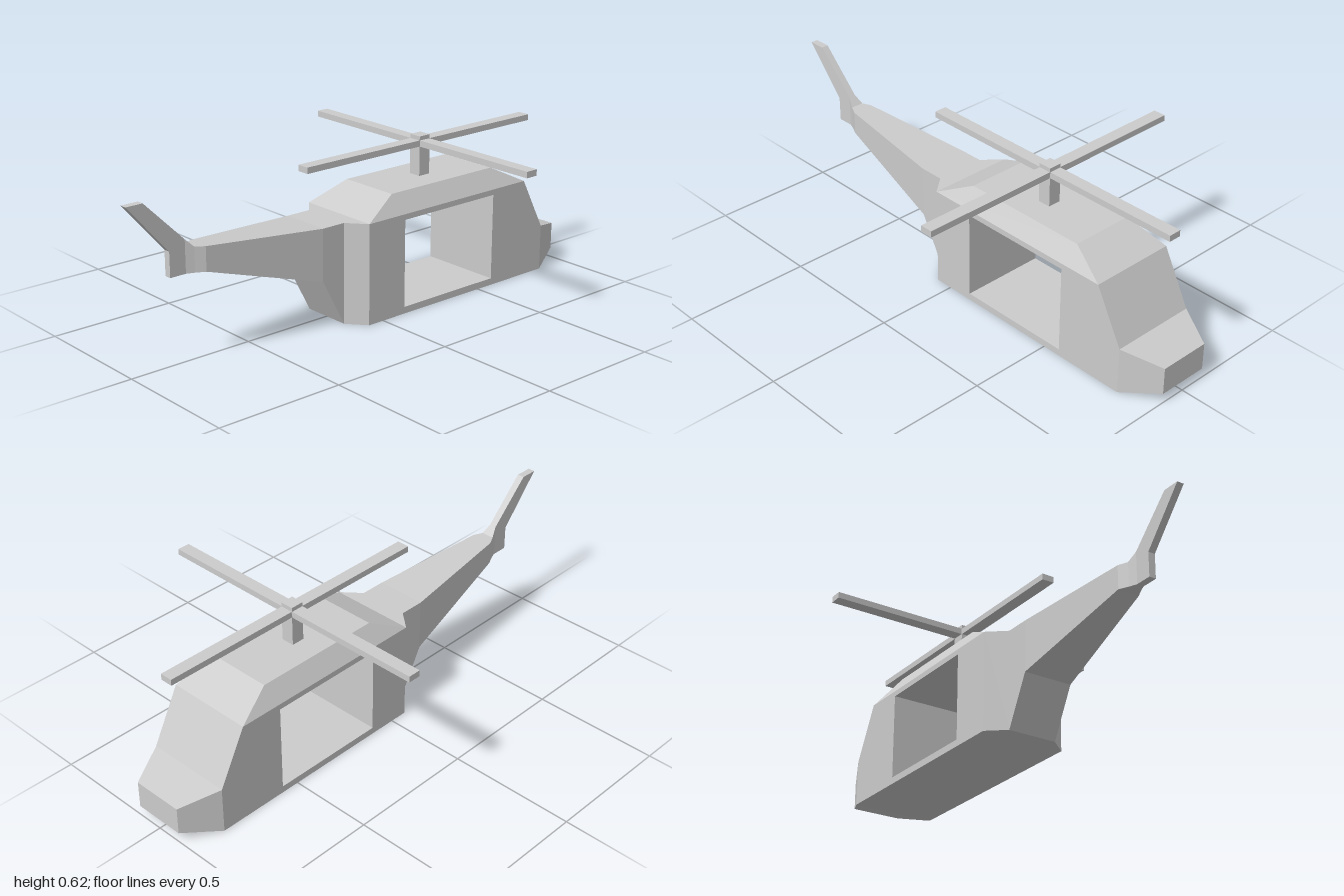
import * as THREE from 'three';

const W = 0.172; // half width of the cabin

export function createModel() {
  const model = new THREE.Group();
  const grey = new THREE.MeshStandardMaterial({ color: 0xcccccc, flatShading: true });
  const thin = new THREE.MeshStandardMaterial({ color: 0xcccccc, flatShading: true, side: THREE.DoubleSide });

  const add = (name, geometry, material = grey) => {
    const mesh = new THREE.Mesh(geometry, material);
    mesh.name = name;
    model.add(mesh);
    return mesh;
  };

  // Skin between rings of points; optionally closes the last ring
  const loft = (rings, { cap = false, open = false } = {}) => {
    const pos = [];
    const tri = (...pts) => pts.forEach((p) => pos.push(...p));
    const n = rings[0].length;
    for (let i = 0; i < rings.length - 1; i++) {
      for (let j = 0; j < (open ? n - 1 : n); j++) {
        const k = (j + 1) % n;
        const a = rings[i][j], b = rings[i][k], c = rings[i + 1][k], d = rings[i + 1][j];
        tri(a, b, c);
        tri(a, c, d);
      }
    }
    const end = rings[rings.length - 1];
    if (cap) for (let j = 1; j < n - 1; j++) tri(end[0], end[j], end[j + 1]);
    const g = new THREE.BufferGeometry();
    g.setAttribute('position', new THREE.Float32BufferAttribute(pos, 3));
    g.computeVertexNormals();
    return g;
  };

  // Rectangular sections: across the length, and level
  const section = (x, y0, y1, w) => [[x, y0, -w], [x, y1, -w], [x, y1, w], [x, y0, w]];
  const level = (y, x0, x1, w) => [[x0, y, -w], [x0, y, w], [x1, y, w], [x1, y, -w]];
  // Panel spanning the cabin's width along a side-view line
  const across = (line, open) =>
    loft([-W, W].map((z) => line.map(([x, y]) => [x, y, z])), { open });
  const toShape = (pts) => new THREE.Shape(pts.map(([x, y]) => new THREE.Vector2(x, y)));

  // Cabin sides with the door opening
  const door = [[0.107, 0.027], [0.107, 0.372], [0.573, 0.372], [0.573, 0.027]];
  const side = toShape([[-0.07, 0], [0.855, 0], [0.855, 0.184], [0.745, 0.394], [-0.07, 0.394]]);
  side.holes.push(toShape(door));
  for (const s of [1, -1]) {
    add(s > 0 ? 'leftSide' : 'rightSide', new THREE.ShapeGeometry(side), thin).position.z = s * W;
  }
  add('doorwayLining', across(door, false));
  add('floor', across([[-0.07, 0], [0.855, 0]], true));
  add('windshield', across([[0.855, 0.184], [0.745, 0.394]], true));

  // Roof and nose
  add('roof', loft([level(0.394, -0.07, 0.745, W), level(0.467, 0.08, 0.6, 0.126)], { cap: true }));
  add('nose', loft([section(0.855, 0, 0.184, W), section(1, 0.039, 0.146, 0.102)], { cap: true }));

  // Cabin rear tapering into the tail boom
  add('tailBoom', loft([
    section(-0.07, 0, 0.394, W),
    section(-0.13, 0, 0.394, 0.1),
    section(-0.23, 0.19, 0.394, 0.1),
    section(-0.705, 0.33, 0.423, 0.044),
    section(-0.74, 0.33, 0.425, 0.026),
    section(-0.77, 0.33, 0.455, 0.014),
  ].map((ring) => ring.reverse()), { cap: true }));

  // Tail fin
  const fin = toShape([[-0.77, 0.33], [-0.77, 0.455], [-0.932, 0.617], [-1, 0.617], [-0.835, 0.425], [-0.835, 0.33]]);
  add('tailFin', new THREE.ExtrudeGeometry(fin, { depth: 0.028, bevelEnabled: false })).position.z = -0.014;

  // Rotor: mast and two crossed blades
  add('rotorMast', new THREE.BoxGeometry(0.052, 0.16, 0.052)).position.set(0.34, 0.543, 0);
  for (const [name, turn] of [['bladeLengthwise', 0], ['bladeCrosswise', Math.PI / 2]]) {
    const blade = add(name, new THREE.BoxGeometry(1.155, 0.024, 0.05));
    blade.position.set(0.34, 0.595, 0);
    blade.rotation.y = turn;
  }

  return model;
}
